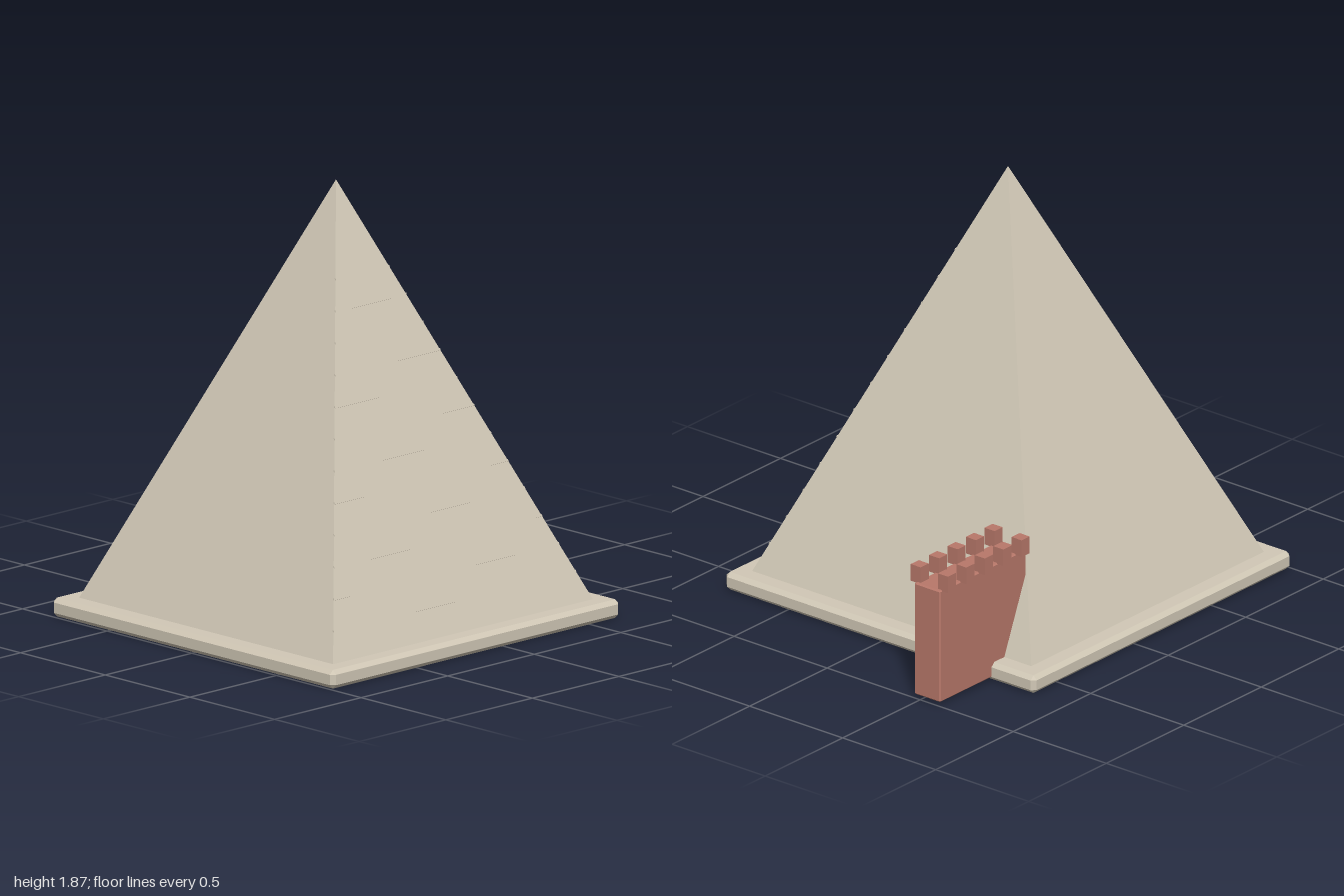
import * as THREE from 'three';
import { ConvexGeometry } from 'three/addons/geometries/ConvexGeometry.js';

const CX = -0.167, BASE_Y = 0.08, APEX_Y = 1.87, HALF = 0.75;

// Box with every edge and corner chamfered
function chamferBox(w, h, d, c) {
  const half = [w / 2, h / 2, d / 2];
  const points = [];
  for (const sx of [-1, 1]) for (const sy of [-1, 1]) for (const sz of [-1, 1]) {
    for (let full = 0; full < 3; full++) {
      const p = half.map((v, i) => (i === full ? v : v - c));
      points.push(new THREE.Vector3(p[0] * sx, p[1] * sy, p[2] * sz));
    }
  }
  return new ConvexGeometry(points);
}

export function createModel() {
  const model = new THREE.Group();
  model.name = 'pyramidWithWall';

  const stone = new THREE.MeshStandardMaterial({ color: 0xd1c8b6 });
  stone.name = 'sandstone';
  const brick = new THREE.MeshStandardMaterial({ color: 0xb8786a });
  brick.name = 'redBrick';

  const add = (parent, name, geometry, material, x, y, z) => {
    const mesh = new THREE.Mesh(geometry, material);
    mesh.name = name;
    mesh.position.set(x, y, z);
    parent.add(mesh);
    return mesh;
  };

  // Chamfered plinth
  add(model, 'plinth', chamferBox(1.666, 0.08, 1.666, 0.018), stone, CX, 0.04, 0);

  // Square pyramid
  const height = APEX_Y - BASE_Y;
  const pyramid = new ConvexGeometry([
    new THREE.Vector3(-HALF, 0, -HALF), new THREE.Vector3(HALF, 0, -HALF),
    new THREE.Vector3(HALF, 0, HALF), new THREE.Vector3(-HALF, 0, HALF),
    new THREE.Vector3(0, height, 0),
  ]);
  add(model, 'pyramid', pyramid, stone, CX, BASE_Y, 0);

  // Thin course lines lying on the front slope
  const courses = new THREE.Group();
  courses.name = 'stoneCourses';
  model.add(courses);
  const slope = Math.atan2(HALF, height);
  for (let i = 0; i < 12; i++) {
    const z = 0.155 + i * 0.0495;
    const y = APEX_Y - z * height / HALF;
    const line = add(courses, 'courseLine', new THREE.BoxGeometry(2 * z, 0.009, 0.006), stone, CX, y, z);
    line.rotation.x = -slope;
  }

  // Battlemented wall running out from the pyramid's side
  const wall = new THREE.Group();
  wall.name = 'wall';
  wall.position.z = -0.535;
  model.add(wall);
  add(wall, 'wallBody', chamferBox(0.556, 0.505, 0.14, 0.006), brick, 0.719, 0.2675, 0);

  // Two rows of merlons
  const merlon = new THREE.BoxGeometry(0.052, 0.075, 0.054);
  for (let i = 0; i < 5; i++) {
    for (const side of [-1, 1]) {
      add(wall, 'merlon', merlon, brick, 0.481 + i * 0.119, 0.5525, side * 0.073);
    }
  }

  return model;
}
